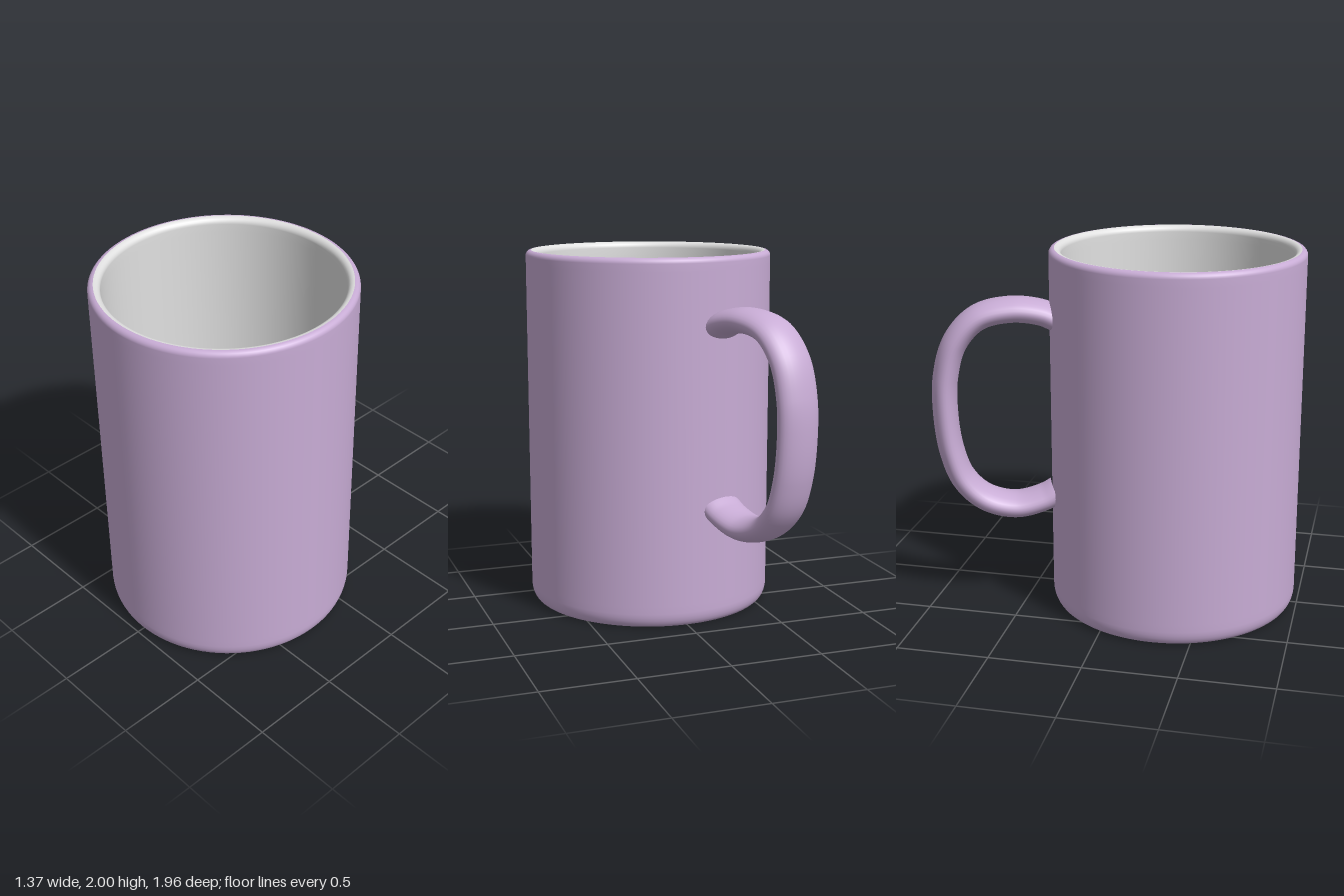
import * as THREE from 'three';

const CENTRE_Z = 0.295; // axis of the cup
const HANDLE_TURN = 0.311; // the handle points back and to the right

// Quarter of an ellipse between two angles, as profile points
function arc(cx, cy, rx, ry, from, to, steps = 6) {
  return Array.from({ length: steps + 1 }, (_, i) => {
    const a = from + ((to - from) * i) / steps;
    return new THREE.Vector2(cx + rx * Math.cos(a), cy + ry * Math.sin(a));
  });
}

export function createModel() {
  const purple = new THREE.MeshStandardMaterial({ color: 0xc8acd5 });
  purple.name = 'lilacGlaze';
  const white = new THREE.MeshStandardMaterial({ color: 0xe0e0e0 });
  white.name = 'whiteGlaze';

  const model = new THREE.Group();
  model.name = 'mug';
  const cup = new THREE.Group();
  cup.name = 'cup';
  cup.position.z = CENTRE_Z;
  model.add(cup);

  const add = (name, geometry, material) => {
    const mesh = new THREE.Mesh(geometry, material);
    mesh.name = name;
    cup.add(mesh);
    return mesh;
  };

  const H = Math.PI / 2;

  // Outer wall: rounded foot, straight side, rounded outer rim
  const outer = [
    ...arc(0.645, 0.08, 0.04, 0.08, -H, 0),
    new THREE.Vector2(0.685, 0.12),
    new THREE.Vector2(0.685, 1.93),
    ...arc(0.655, 1.97, 0.03, 0.03, 0, H),
  ];
  add('outerWall', new THREE.LatheGeometry(outer, 96), purple);

  // Lining: inner lip, inside wall, filleted floor
  const inner = [
    ...arc(0.655, 1.965, 0.035, 0.035, H, 2 * H),
    new THREE.Vector2(0.62, 1.92),
    new THREE.Vector2(0.62, 0.17),
    ...arc(0.575, 0.125, 0.045, 0.045, 0, -H),
    new THREE.Vector2(0.55, 0.08),
    new THREE.Vector2(0, 0.08),
  ];
  add('lining', new THREE.LatheGeometry(inner, 96), white);

  // Flat underside
  const base = new THREE.CircleGeometry(0.645, 96);
  base.rotateX(H);
  add('underside', base, white);

  // Handle: a tube widened to an oval section; points are [distance from axis, height]
  const path = [
    [0.66, 1.63], [0.73, 1.66], [0.887, 1.68], [1.066, 1.64], [1.19, 1.51],
    [1.248, 1.32], [1.256, 1.12], [1.23, 0.9], [1.17, 0.735], [1.055, 0.62],
    [0.887, 0.573], [0.73, 0.608], [0.66, 0.645],
  ].map(([u, y]) => new THREE.Vector3(0, y, -u));
  const tube = new THREE.TubeGeometry(new THREE.CatmullRomCurve3(path), 96, 0.068, 28);
  tube.scale(0.125 / 0.068, 1, 1);
  add('handle', tube, purple).rotation.y = HANDLE_TURN;

  return model;
}
